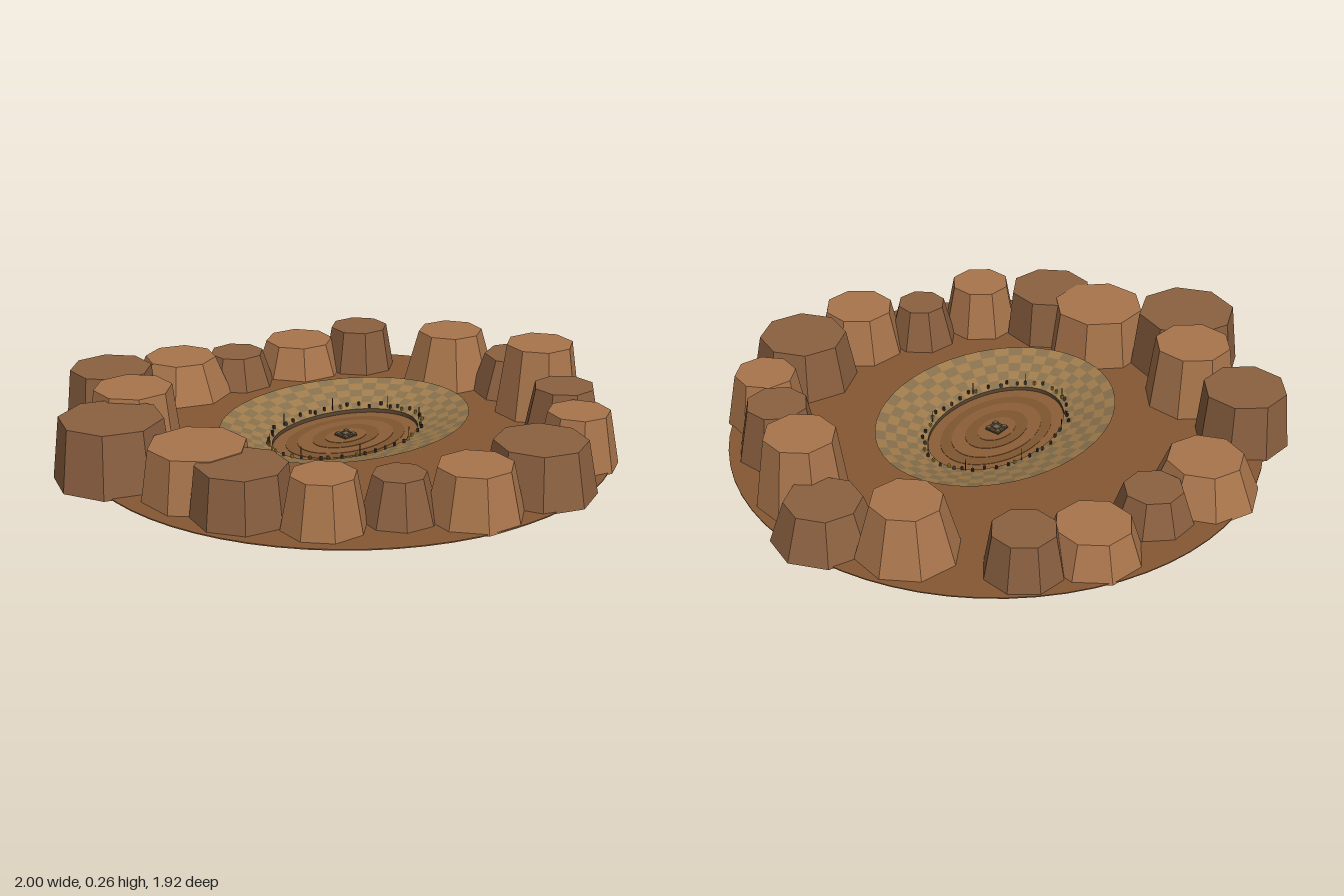
import * as THREE from 'three';

const mat = (color, flat = false, side = THREE.FrontSide) =>
  new THREE.MeshStandardMaterial({ color, flatShading: flat, side });

function add(parent, name, geometry, material, x = 0, y = 0, z = 0) {
  const mesh = new THREE.Mesh(geometry, material);
  mesh.name = name;
  mesh.position.set(x, y, z);
  parent.add(mesh);
  return mesh;
}

let seed = 7;
const rand = () => (seed = (seed * 16807) % 2147483647) / 2147483647;

// Inner and outer ellipse of the seating bowl
const INNER = { rx: 0.292, rz: 0.2, y: 0.022 };
const OUTER = { rx: 0.477, rz: 0.38, y: 0.08 };

// Point on the bowl: t = 0 at the inner edge, 1 at the rim
function bowlPoint(t, a) {
  const mix = (k) => THREE.MathUtils.lerp(INNER[k], OUTER[k], t);
  return new THREE.Vector3(mix('rx') * Math.cos(a), mix('y'), mix('rz') * Math.sin(a));
}

// One half of the checkered seating blocks
function seatBlocks(parity, rows = 5, cols = 48) {
  const pos = [];
  for (let r = 0; r < rows; r++) {
    for (let c = 0; c < cols; c++) {
      if ((r + c) % 2 !== parity) continue;
      const a0 = (c / cols) * Math.PI * 2, a1 = ((c + 1) / cols) * Math.PI * 2;
      const p = [
        bowlPoint(r / rows, a0), bowlPoint(r / rows, a1),
        bowlPoint((r + 1) / rows, a1), bowlPoint((r + 1) / rows, a0),
      ];
      for (const i of [0, 1, 2, 0, 2, 3]) pos.push(...p[i].toArray());
    }
  }
  const g = new THREE.BufferGeometry();
  g.setAttribute('position', new THREE.Float32BufferAttribute(pos, 3));
  g.computeVertexNormals();
  return g;
}

// Cliffs: x, z, top radius, base radius, height, turn
const CLIFFS = [
  [-0.8, -0.27, 0.175, 0.2, 0.215, 0], [-0.595, -0.425, 0.135, 0.165, 0.23, 0.3],
  [-0.485, -0.705, 0.145, 0.165, 0.205, 0.3], [-0.12, -0.775, 0.13, 0.19, 0.145, 0],
  [0.105, -0.72, 0.1, 0.142, 0.125, 0.35], [0.38, -0.675, 0.127, 0.168, 0.125, 0.2],
  [0.58, -0.55, 0.108, 0.137, 0.165, 0.25], [0.72, -0.195, 0.12, 0.177, 0.2, 0.15],
  [0.822, 0.065, 0.128, 0.178, 0.147, 0], [0.71, 0.26, 0.122, 0.16, 0.26, 0.2],
  [0.555, 0.51, 0.107, 0.147, 0.2, 0.35], [0.422, 0.69, 0.107, 0.142, 0.19, 0.1],
  [0.14, 0.77, 0.155, 0.19, 0.183, 0], [-0.15, 0.755, 0.125, 0.165, 0.175, 0.25],
  [-0.34, 0.61, 0.088, 0.13, 0.155, 0.2], [-0.56, 0.5, 0.107, 0.142, 0.183, 0.3],
  [-0.692, 0.265, 0.148, 0.168, 0.18, 0.15], [-0.692, 0.045, 0.163, 0.19, 0.183, 0.35],
];

export function createModel() {
  const root = new THREE.Group();
  root.name = 'desertArena';

  // Ground disc
  add(root, 'ground', new THREE.CylinderGeometry(0.93, 0.93, 0.004, 64), mat(0x855833), 0.005, 0.004, -0.005);

  // Ring of faceted cliffs
  const cliffs = new THREE.Group();
  cliffs.name = 'cliffs';
  root.add(cliffs);
  const light = mat(0xa9754c, true), dark = mat(0x8b6040, true);
  const lightOnes = [1, 3, 5, 7, 9, 11, 13, 15, 17];
  CLIFFS.forEach(([x, z, rt, rb, h, turn], i) => {
    const m = add(cliffs, 'cliff', new THREE.CylinderGeometry(rt, rb, h, 8),
      lightOnes.includes(i) ? light : dark, x, h / 2, z);
    m.rotation.y = turn;
  });

  const arena = new THREE.Group();
  arena.name = 'arena';
  arena.position.set(0.005, 0, -0.007);
  root.add(arena);

  // Checkered seating bowl
  add(arena, 'seatsLight', seatBlocks(0), mat(0xa07c4c, false, THREE.DoubleSide));
  add(arena, 'seatsDark', seatBlocks(1), mat(0x87704c, false, THREE.DoubleSide));

  // Low wall between the seats and the floor
  const wall = add(arena, 'innerWall', new THREE.CylinderGeometry(1, 1, 0.017, 48, 1, true),
    mat(0x5a4630, false, THREE.DoubleSide), 0, 0.0135, 0);
  wall.scale.set(INNER.rx, 1, INNER.rz);

  // Floor of thin concentric steps
  [1, 0.82, 0.66, 0.46, 0.28].forEach((s, i) => {
    const disc = add(arena, 'floorRing', new THREE.CylinderGeometry(1, 1, 0.002, 48),
      mat(i % 2 ? 0x80552f : 0x8c5f38), 0, 0.007 + i * 0.0015, 0);
    disc.scale.set(INNER.rx * s, 1, INNER.rz * s);
  });

  // Central dais with a block at each corner
  const stone = mat(0x76664a, true), darkStone = mat(0x4a3c2a, true);
  add(arena, 'dais', new THREE.BoxGeometry(0.056, 0.006, 0.056), darkStone, 0, 0.016, 0);
  add(arena, 'daisTop', new THREE.BoxGeometry(0.022, 0.006, 0.022), stone, 0, 0.021, 0);
  for (const sx of [-1, 1]) for (const sz of [-1, 1])
    add(arena, 'daisBlock', new THREE.BoxGeometry(0.014, 0.008, 0.014), stone, sx * 0.019, 0.021, sz * 0.019);

  // Small figures and posts along the first row
  const tones = [0x3a3026, 0x55504a, 0xb08a2e, 0x4a3524].map((c) => mat(c, true));
  const figure = new THREE.BoxGeometry(0.007, 0.014, 0.007);
  const post = new THREE.CylinderGeometry(0.0015, 0.0015, 0.05, 5);
  for (let i = 0; i < 44; i++) {
    const a = ((i + rand() * 0.7) / 44) * Math.PI * 2;
    const p = bowlPoint(0.03 + rand() * 0.1, a);
    add(arena, 'spectator', figure, tones[Math.floor(rand() * 4)], p.x, p.y + 0.006, p.z);
  }
  for (let i = 0; i < 8; i++) {
    const p = bowlPoint(0.06, ((i + 0.5) / 8) * Math.PI * 2);
    add(arena, 'post', post, darkStone, p.x, p.y + 0.02, p.z);
  }
  return root;
}
